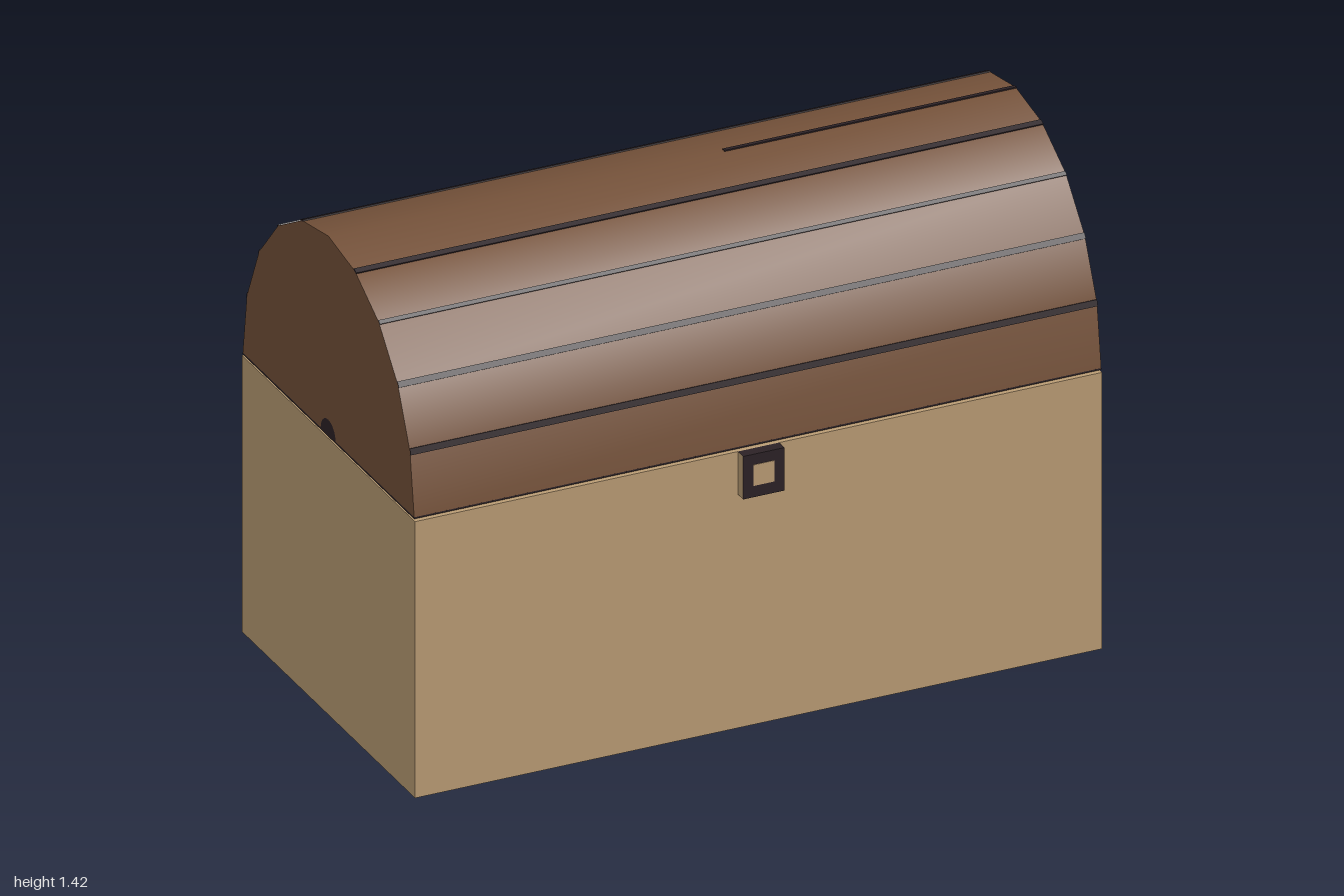
import * as THREE from 'three';
import { toCreasedNormals } from 'three/addons/utils/BufferGeometryUtils.js';

const paint = (name, color) => {
  const m = new THREE.MeshStandardMaterial({ color });
  m.name = name;
  return m;
};

export function createModel() {
  const tan = paint('tan wood', 0xbb9d75);
  const brown = paint('brown wood', 0x75523a);
  const dark = paint('dark iron', 0x2c2226);

  const chest = new THREE.Group();
  chest.name = 'chest';
  const add = (name, geometry, material, x = 0, y = 0, z = 0, parent = chest) => {
    const mesh = new THREE.Mesh(geometry, material);
    mesh.name = name;
    mesh.position.set(x, y, z);
    parent.add(mesh);
    return mesh;
  };
  const box = (w, h, d) => new THREE.BoxGeometry(w, h, d);

  // Lower case
  add('body', box(2, 0.817, 1.06), tan, 0, 0.4085, -0.015);

  // Arched lid: half an ellipse in ten facets, smooth along the arch
  const midZ = -0.015, baseY = 0.827, radiusZ = 0.525, radiusY = 0.588, facets = 10;
  const arch = [];
  for (let i = 0; i <= facets; i++) {
    const a = (i / facets) * Math.PI;
    arch.push(new THREE.Vector2(midZ + radiusZ * Math.cos(a), baseY + radiusY * Math.sin(a)));
  }
  const profile = new THREE.Shape(arch.map((p) => new THREE.Vector2(-p.x, p.y)));
  const lidGeometry = new THREE.ExtrudeGeometry(profile, { depth: 2, bevelEnabled: false });
  lidGeometry.rotateY(Math.PI / 2).translate(-1, 0, 0);
  add('lid', toCreasedNormals(lidGeometry, 0.6), brown);

  // Dark underside of the lid
  add('lidUnderside', box(2, 0.005, radiusZ * 2), dark, 0, baseY - 0.002, midZ);

  // Dark seams along the lid ridges: [ridge, width, start x, end x]
  const seams = new THREE.Group();
  seams.name = 'lidSeams';
  chest.add(seams);
  const seamData = [
    [1, 0.018, -1, 1], [2, 0.017, -1, 1], [3, 0.012, -1, 1], [4, 0.017, -1, 1],
    [5, 0.012, 0.15, 1],
    [6, 0.017, -1, 1], [7, 0.012, -1, 1], [8, 0.017, -1, 1], [9, 0.018, -1, 1],
  ];
  for (const [i, width, x0, x1] of seamData) {
    const along = arch[i + 1].clone().sub(arch[i - 1]);
    const seam = add('seam', box(x1 - x0, 0.005, width), dark, (x0 + x1) / 2, arch[i].y, arch[i].x, seams);
    seam.rotation.x = Math.atan2(-along.y, along.x);
  }

  // Small dark marks at the foot of each lid end
  for (const side of [-1, 1]) {
    const mark = add('endMark', new THREE.CircleGeometry(0.046, 12, 0, Math.PI), dark, side * 1.001, baseY, midZ);
    mark.rotation.y = (side * Math.PI) / 2;
  }

  // Clasp: dark front and top, tan sides, tan square in the middle
  const clasp = new THREE.Group();
  clasp.name = 'clasp';
  chest.add(clasp);
  add('claspBlock', box(0.12, 0.127, 0.032), [tan, tan, dark, tan, dark, tan], 0, 0.7535, 0.531, clasp);
  add('claspCentre', box(0.06, 0.062, 0.002), tan, 0, 0.755, 0.5475, clasp);

  return chest;
}
